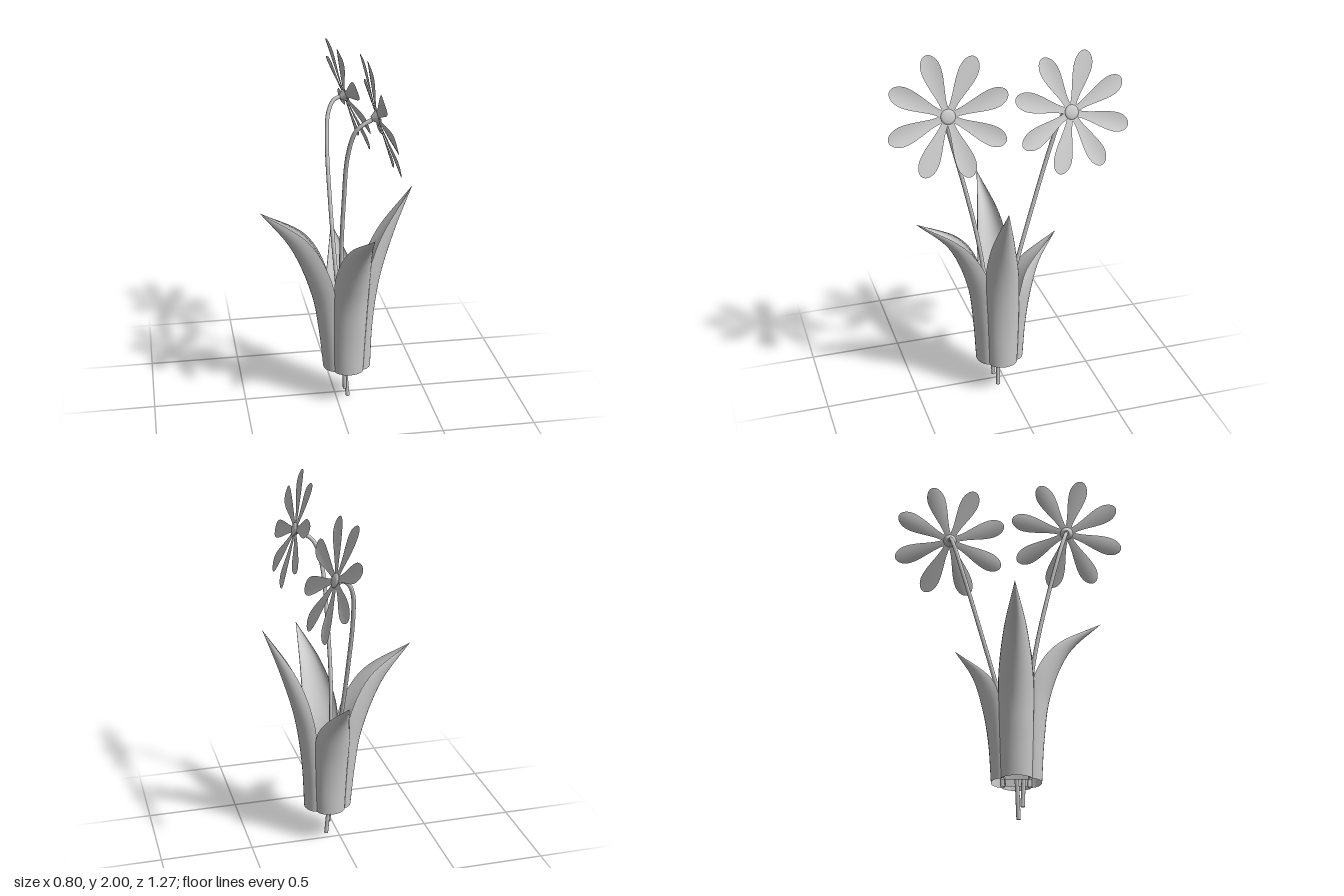
import * as THREE from 'three';

const material = new THREE.MeshStandardMaterial({ color: 0xcccccc, side: THREE.DoubleSide });
const CENTRE = new THREE.Vector3(0.06, 0, 0.04);
const v3 = (p) => new THREE.Vector3(...p);

function mesh(name, geometry) {
  const m = new THREE.Mesh(geometry, material);
  m.name = name;
  return m;
}

// Leaf: crescent sections from a broad foot to a pointed tip.
// outer = ridge line [radius, height], edge = line of the two margins.
function leafGeometry(outer, edge, drift) {
  const rows = 28, half = 14, around = half * 2;
  const halfWidth = [0.08, 0.088, 0.092, 0.06, 0];
  const innerDepth = [-0.15, 0.1, 0.5, 0.7, 0.7];
  const ridge = new THREE.CatmullRomCurve3(outer.map(([r, y], i) => new THREE.Vector3(r, y, halfWidth[i])));
  const margin = new THREE.CatmullRomCurve3(edge.map(([r, y], i) => new THREE.Vector3(r, y, innerDepth[i])));
  const pos = [], index = [];
  for (let i = 0; i <= rows; i++) {
    const t = i / rows;
    const o = ridge.getPoint(t), e = margin.getPoint(t);
    const w = Math.max(o.z, 0), k = e.z;
    for (let j = 0; j <= around; j++) {
      const a = (j / around) * Math.PI * 2;
      const depth = Math.sin(a) >= 0 ? Math.sin(a) : -Math.sin(a) * k;
      pos.push(
        w * Math.cos(a) + drift * t * t,
        THREE.MathUtils.lerp(e.y, o.y, depth),
        THREE.MathUtils.lerp(e.x, o.x, depth)
      );
      if (i < rows && j < around) {
        const p = i * (around + 1) + j, q = p + around + 1;
        index.push(p, q, p + 1, p + 1, q, q + 1);
      }
    }
  }
  const g = new THREE.BufferGeometry();
  g.setAttribute('position', new THREE.Float32BufferAttribute(pos, 3));
  g.setIndex(index.reverse() && index);
  g.computeVertexNormals();
  return g;
}

// Petal: a plane reshaped to a paddle with a rounded tip, lightly cupped.
function petalGeometry() {
  const g = new THREE.PlaneGeometry(2, 1, 6, 24);
  const p = g.attributes.position;
  for (let i = 0; i < p.count; i++) {
    const v = Math.sin((p.getY(i) + 0.5) * Math.PI / 2);
    let w = 0.017 + 0.033 * THREE.MathUtils.smoothstep(v, 0.05, 0.75);
    if (v > 0.74) w *= Math.sqrt(Math.max(0, 1 - ((v - 0.74) / 0.26) ** 2));
    const x = p.getX(i) * w;
    p.setXYZ(i, x, 0.02 + 0.3 * v, 0.018 * v + 3 * x * x);
  }
  g.computeVertexNormals();
  return g;
}

// Flower head: eight petals, a low dome in front and a small cup behind.
function flowerHead(name, position, normal, startAngle) {
  const head = new THREE.Group();
  head.name = name;
  const petal = petalGeometry();
  for (let i = 0; i < 8; i++) {
    const m = mesh('petal', petal);
    m.rotation.z = THREE.MathUtils.degToRad(startAngle + i * 45 - 90);
    head.add(m);
  }
  const dome = mesh('flowerCentre', new THREE.SphereGeometry(0.038, 24, 12));
  dome.scale.z = 0.3;
  dome.position.z = 0.005;
  const cup = mesh('flowerCup', new THREE.CylinderGeometry(0.036, 0.012, 0.03, 20));
  cup.rotation.x = Math.PI / 2;
  cup.position.z = -0.014;
  head.add(dome, cup);
  head.position.copy(v3(position));
  head.lookAt(v3(position).add(v3(normal)));
  return head;
}

function stem(name, points) {
  const curve = new THREE.CatmullRomCurve3(points.map(v3));
  return mesh(name, new THREE.TubeGeometry(curve, 80, 0.011, 10));
}

export function createModel() {
  const model = new THREE.Group();
  model.name = 'flowersWithLeaves';

  // Four leaves forming a sheath around the stems
  const leaves = [
    { name: 'frontLeaf', turn: 0, drift: 0.06,
      outer: [[0.13, 0.19], [0.145, 0.42], [0.18, 0.67], [0.285, 0.93], [0.46, 1.11]],
      edge: [[0.065, 0.19], [0.075, 0.45], [0.095, 0.757], [0.22, 0.955], [0.46, 1.11]] },
    { name: 'leftLeaf', turn: 1, drift: -0.05,
      outer: [[0.13, 0.19], [0.14, 0.45], [0.175, 0.72], [0.245, 0.98], [0.335, 1.24]],
      edge: [[0.065, 0.19], [0.075, 0.45], [0.09, 0.73], [0.165, 0.97], [0.335, 1.24]] },
    { name: 'backLeaf', turn: 2, drift: 0.035,
      outer: [[0.13, 0.19], [0.145, 0.4], [0.175, 0.58], [0.23, 0.76], [0.325, 0.905]],
      edge: [[0.065, 0.19], [0.075, 0.42], [0.095, 0.65], [0.155, 0.76], [0.325, 0.905]] },
    { name: 'rightLeaf', turn: 3, drift: -0.01,
      outer: [[0.13, 0.19], [0.155, 0.42], [0.19, 0.62], [0.3, 0.9], [0.46, 1.11]],
      edge: [[0.065, 0.19], [0.075, 0.45], [0.095, 0.73], [0.22, 0.96], [0.46, 1.11]] },
  ];
  for (const { name, turn, drift, outer, edge } of leaves) {
    const leaf = mesh(name, leafGeometry(outer, edge, drift));
    leaf.rotation.y = turn * Math.PI / 2;
    leaf.position.copy(CENTRE);
    model.add(leaf);
  }

  // Two flowers on bent stems
  model.add(
    stem('frontStem', [[0.045, 0.06, 0.07], [0.025, 0.5, 0.09], [0.012, 0.89, 0.14], [0.012, 1.2, 0.205],
      [0.022, 1.5, 0.28], [0.06, 1.63, 0.315], [0.145, 1.69, 0.328]]),
    flowerHead('frontFlower', [0.155, 1.695, 0.328], [1, 0.28, 0], 16),
    stem('backStem', [[0.065, 0, 0.05], [0.045, 0.25, 0.035], [0.02, 0.65, -0.05], [0.003, 1.05, -0.16],
      [0, 1.4, -0.26], [0.015, 1.54, -0.3], [0.05, 1.603, -0.32], [0.1, 1.618, -0.325]]),
    flowerHead('backFlower', [0.108, 1.62, -0.328], [1, 0.33, -0.1], 25)
  );
  return model;
}
